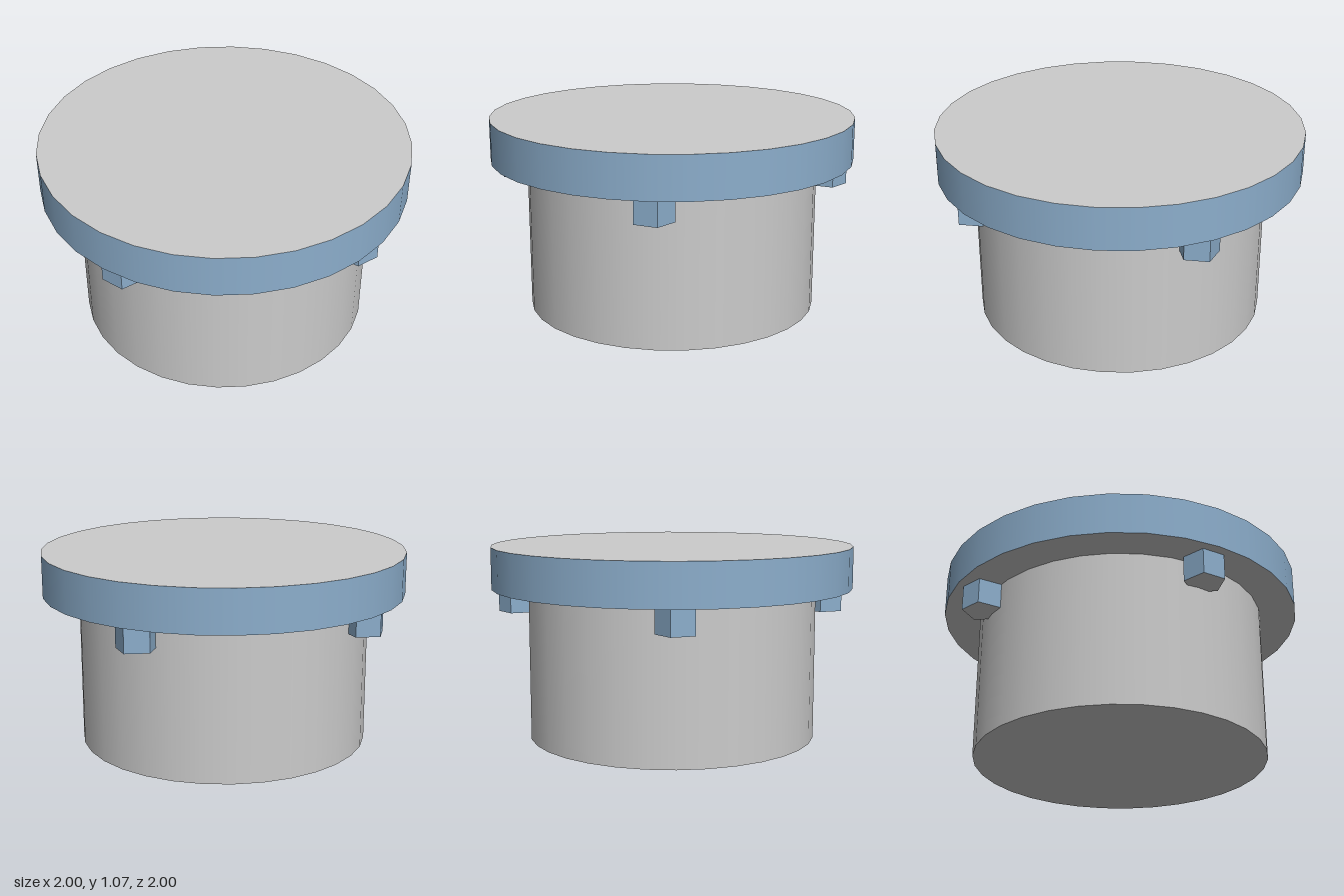
import * as THREE from 'three';

const grey = new THREE.MeshStandardMaterial({ color: 0xcccccc });
const blue = new THREE.MeshStandardMaterial({ color: 0x8caecc });
const flatBlue = new THREE.MeshStandardMaterial({ color: 0x8caecc, flatShading: true });

// Upright cylinder between two heights, with grey end caps
function drum(name, radius, bottom, top, sides, sideMaterial, start = 0) {
  const geometry = new THREE.CylinderGeometry(radius, radius, top - bottom, sides, 1, false, start);
  const mesh = new THREE.Mesh(geometry, [sideMaterial, grey, grey]);
  mesh.name = name;
  mesh.position.y = (bottom + top) / 2;
  return mesh;
}

export function createModel() {
  const model = new THREE.Group();
  model.name = 'lidded drum';

  const rimY = 0.84;
  model.add(drum('body', 0.8, 0, rimY, 32, grey));
  model.add(drum('lid', 1, rimY, 1.07, 32, blue));

  // Four five-sided pegs under the lid, all with a corner towards +x
  for (let i = 0; i < 4; i++) {
    const angle = (i * Math.PI) / 2;
    const peg = drum('peg', 0.11, 0.7, rimY, 5, flatBlue, Math.PI / 2);
    peg.position.x = 0.855 * Math.sin(angle);
    peg.position.z = 0.855 * Math.cos(angle);
    model.add(peg);
  }
  return model;
}
